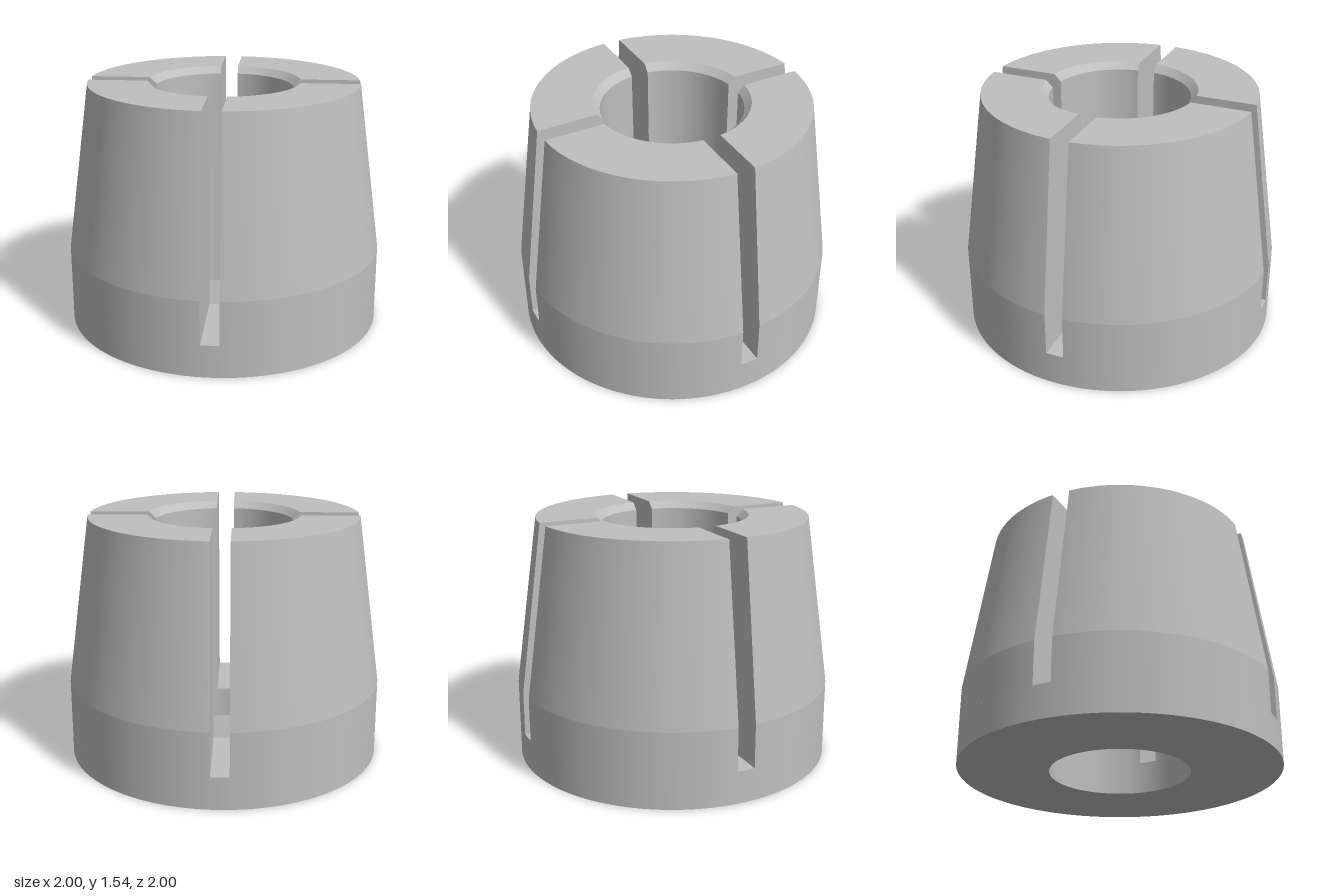
import * as THREE from 'three';
import { mergeGeometries } from 'three/addons/utils/BufferGeometryUtils.js';

const BORE = 0.437, FLOOR = 0.205, HALF_SLOT = 0.0565;

// Surface swept about y between two profile points [r, y]; range(r) gives the start and end angles.
function band([r0, y0], [r1, y1], range, steps) {
  const pos = [], nor = [], idx = [];
  const len = Math.hypot(r1 - r0, y1 - y0), nr = (y1 - y0) / len, ny = (r0 - r1) / len;
  for (let j = 0; j <= steps; j++) {
    for (const [r, y] of [[r0, y0], [r1, y1]]) {
      const [a, b] = range(r), t = a + (b - a) * j / steps;
      pos.push(r * Math.cos(t), y, r * Math.sin(t));
      nor.push(nr * Math.cos(t), ny, nr * Math.sin(t));
    }
    const k = 2 * j;
    if (j < steps) idx.push(k, k + 1, k + 2, k + 1, k + 3, k + 2);
  }
  const g = new THREE.BufferGeometry();
  g.setAttribute('position', new THREE.Float32BufferAttribute(pos, 3));
  g.setAttribute('normal', new THREE.Float32BufferAttribute(nor, 3));
  g.setIndex(idx);
  return g;
}

// Flat slot wall: the convex profile placed at one end of the sweep.
function wall(profile, range, end) {
  const pos = profile.flatMap(([r, y]) => {
    const t = range(r)[end];
    return [r * Math.cos(t), y, r * Math.sin(t)];
  });
  const idx = [];
  for (let i = 1; i < profile.length - 1; i++) idx.push(...(end ? [0, i, i + 1] : [0, i + 1, i]));
  const g = new THREE.BufferGeometry();
  g.setAttribute('position', new THREE.Float32BufferAttribute(pos, 3));
  g.setIndex(idx);
  g.computeVertexNormals();
  return g;
}

export function createModel() {
  const group = new THREE.Group();
  group.name = 'slottedTaperSleeve';
  const steel = new THREE.MeshStandardMaterial({ color: 0xbfbfbf });
  steel.name = 'steel grey';

  const add = (name, geometry, turn = 0) => {
    const mesh = new THREE.Mesh(geometry, steel);
    mesh.name = name;
    mesh.rotation.y = turn;
    group.add(mesh);
  };

  // Solid ring below the slots
  const full = () => [0, Math.PI * 2];
  const ring = [[BORE, FLOOR], [BORE, 0], [1, 0], [1, FLOOR]];
  add('baseRing', mergeGeometries([0, 1, 2].map(i => band(ring[i], ring[i + 1], full, 128))));

  // Four tapered jaws with parallel-sided slots between them
  const jawRange = r => {
    const a = Math.PI / 4 - Math.asin(HALF_SLOT / r);
    return [-a, a];
  };
  const profile = [[BORE, FLOOR], [1, FLOOR], [1, 0.48], [0.85, 1.54], [0.48, 1.54], [BORE, 1.497]];
  const jawParts = [wall(profile, jawRange, 0), wall(profile, jawRange, 1)];
  for (let i = 1; i < profile.length; i++) {
    jawParts.push(band(profile[i], profile[(i + 1) % profile.length], jawRange, 32));
  }
  const jaw = mergeGeometries(jawParts);

  // Slot floors
  const slotRange = r => {
    const a = Math.asin(HALF_SLOT / r);
    return [Math.PI / 4 - a, Math.PI / 4 + a];
  };
  const floor = band([1, FLOOR], [BORE, FLOOR], slotRange, 4);

  for (let k = 0; k < 4; k++) {
    add('jaw' + (k + 1), jaw, k * Math.PI / 2);
    add('slotFloor' + (k + 1), floor, k * Math.PI / 2);
  }
  // Outer wall of the ring and the jaws share one radius, so the halves meet flush.
  return group;
}
